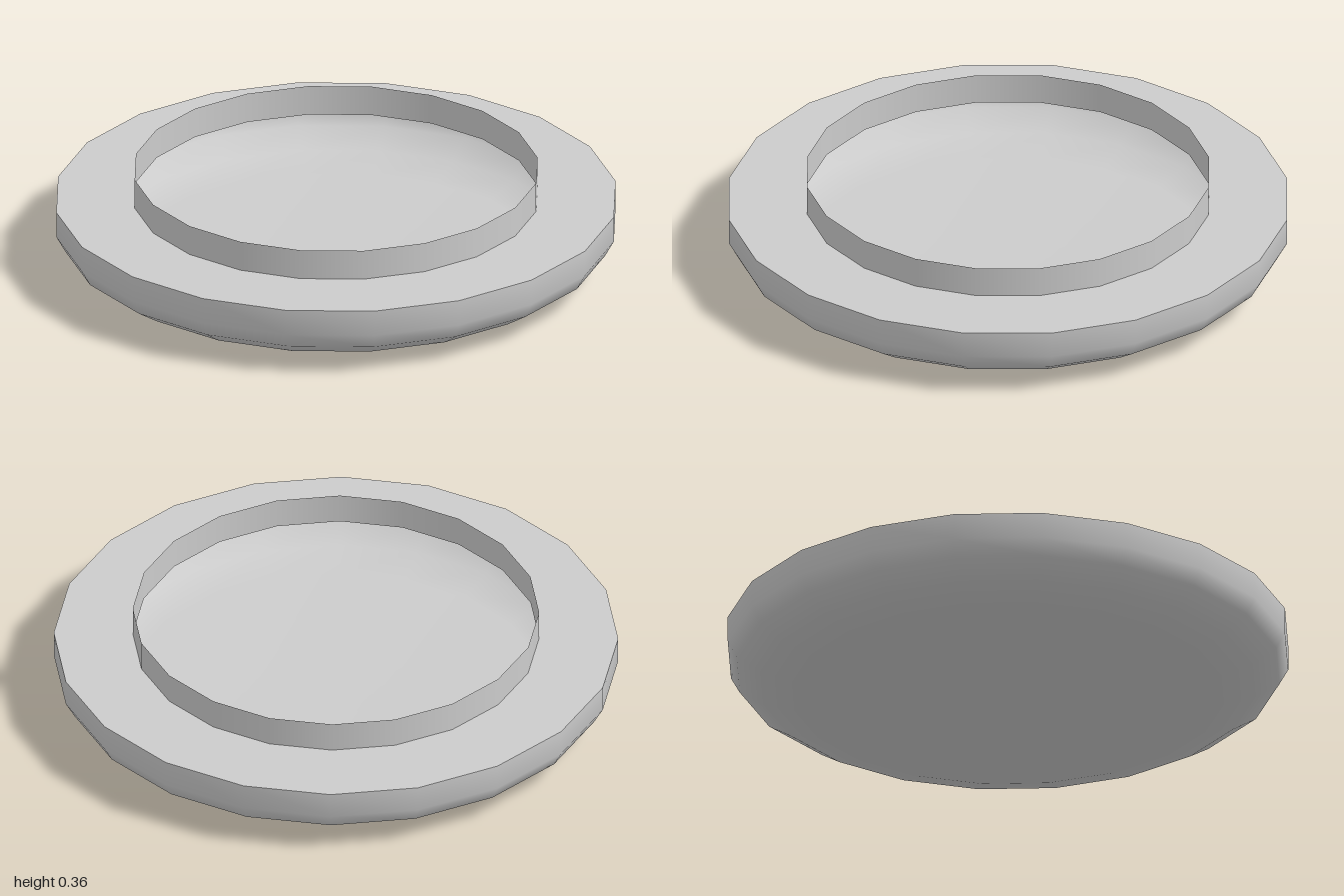
import * as THREE from 'three';

const SIDES = 20;

export function createModel() {
  const group = new THREE.Group();
  const material = new THREE.MeshStandardMaterial({ color: 0xcccccc, side: THREE.DoubleSide });

  // Turns a [radius, height] profile into a thin ring or shell
  const addLathe = (name, profile) => {
    const points = profile.map(([r, y]) => new THREE.Vector2(r, y));
    const mesh = new THREE.Mesh(new THREE.LatheGeometry(points, SIDES), material);
    mesh.name = name;
    group.add(mesh);
  };

  // Hollow shallow bowl with a rounded lower edge
  addLathe('bowl', [[0, 0], [0.755, 0.003], [0.88, 0.04], [0.968, 0.097], [1, 0.155], [1, 0.25]]);
  // Flat flange covering the outer part of the bowl
  addLathe('flange', [[1, 0.25], [0.72, 0.25]]);
  // Thin upright collar around the opening
  addLathe('collar', [[0.72, 0.25], [0.72, 0.36]]);

  return group;
}
